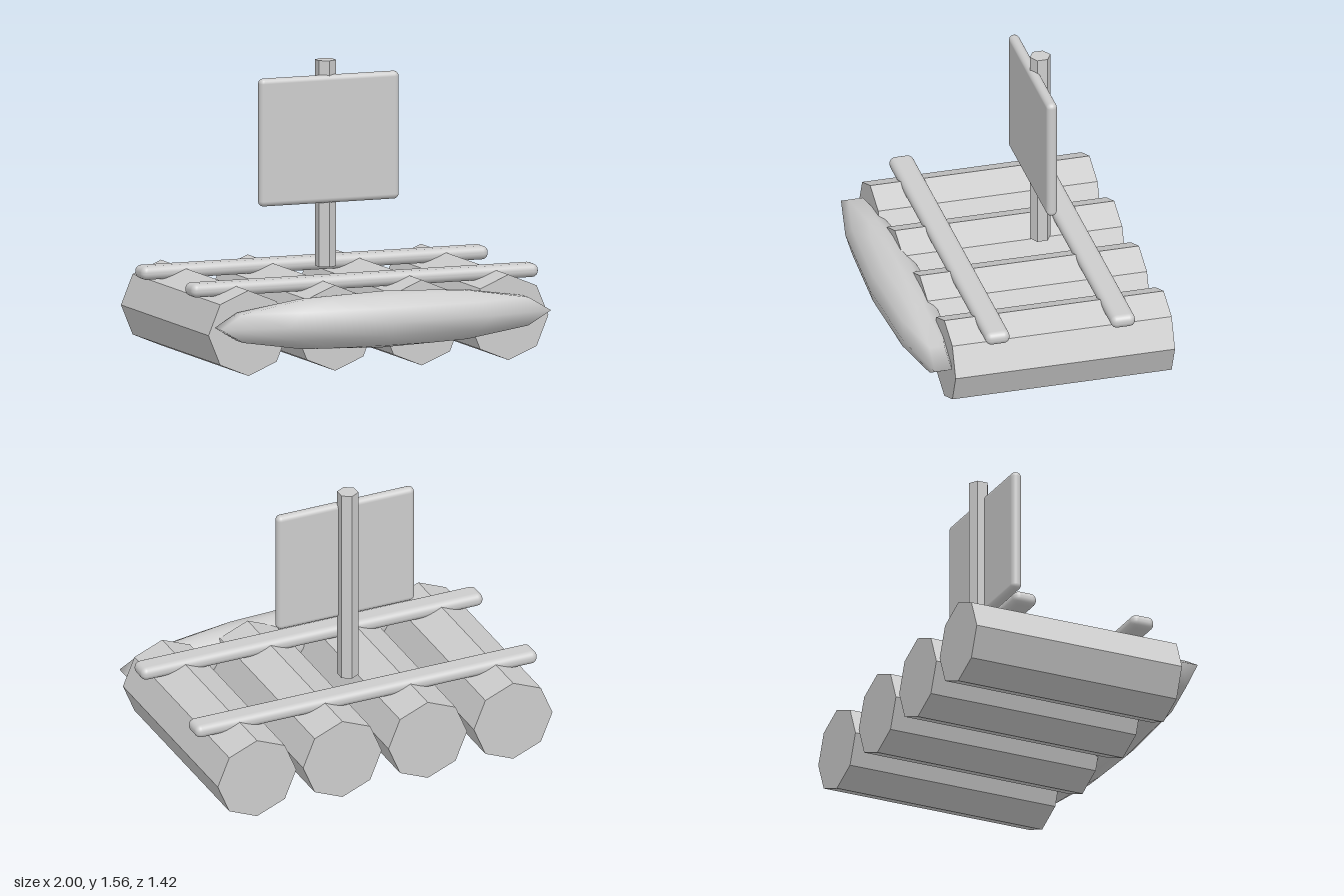
import * as THREE from 'three';
import { RoundedBoxGeometry } from 'three/addons/geometries/RoundedBoxGeometry.js';

const plainGrey = new THREE.MeshStandardMaterial({ color: 0xcccccc });
plainGrey.name = 'plain grey';

// Gives each face its own normal
function faceted(geometry) {
  const flat = geometry.toNonIndexed();
  flat.computeVertexNormals();
  return flat;
}

export function createModel() {
  const raft = new THREE.Group();
  raft.name = 'raft';

  function add(name, geometry, x, y, z) {
    const mesh = new THREE.Mesh(geometry, plainGrey);
    mesh.name = name;
    mesh.position.set(x, y, z);
    raft.add(mesh);
  }

  // Four eight-sided logs, running front to back
  const log = faceted(new THREE.CylinderGeometry(0.23, 0.23, 1.21, 8).rotateX(Math.PI / 2));
  [-0.75, -0.25, 0.25, 0.75].forEach((x, i) => add(`log${i + 1}`, log, x, 0.23, -0.105));

  // Rounded planks tying the logs together
  const beam = new RoundedBoxGeometry(2, 0.073, 0.133, 3, 0.034);
  add('frontBeam', beam, 0, 0.444, 0.267);
  add('rearBeam', beam, 0, 0.444, -0.425);

  // Hexagonal mast
  add('mast', faceted(new THREE.CylinderGeometry(0.057, 0.057, 1.11, 6)), 0, 1.005, -0.233);

  // Square sail with rounded edges
  add('sail', new RoundedBoxGeometry(0.805, 0.688, 0.058, 3, 0.028), 0, 1.14, -0.193);

  // Stretched smooth float across the bow
  const float = new THREE.SphereGeometry(1, 10, 6).rotateY(Math.PI / 2).scale(1, 0.152, 0.15);
  add('bowFloat', float, 0, 0.272, 0.56);

  return raft;
}
